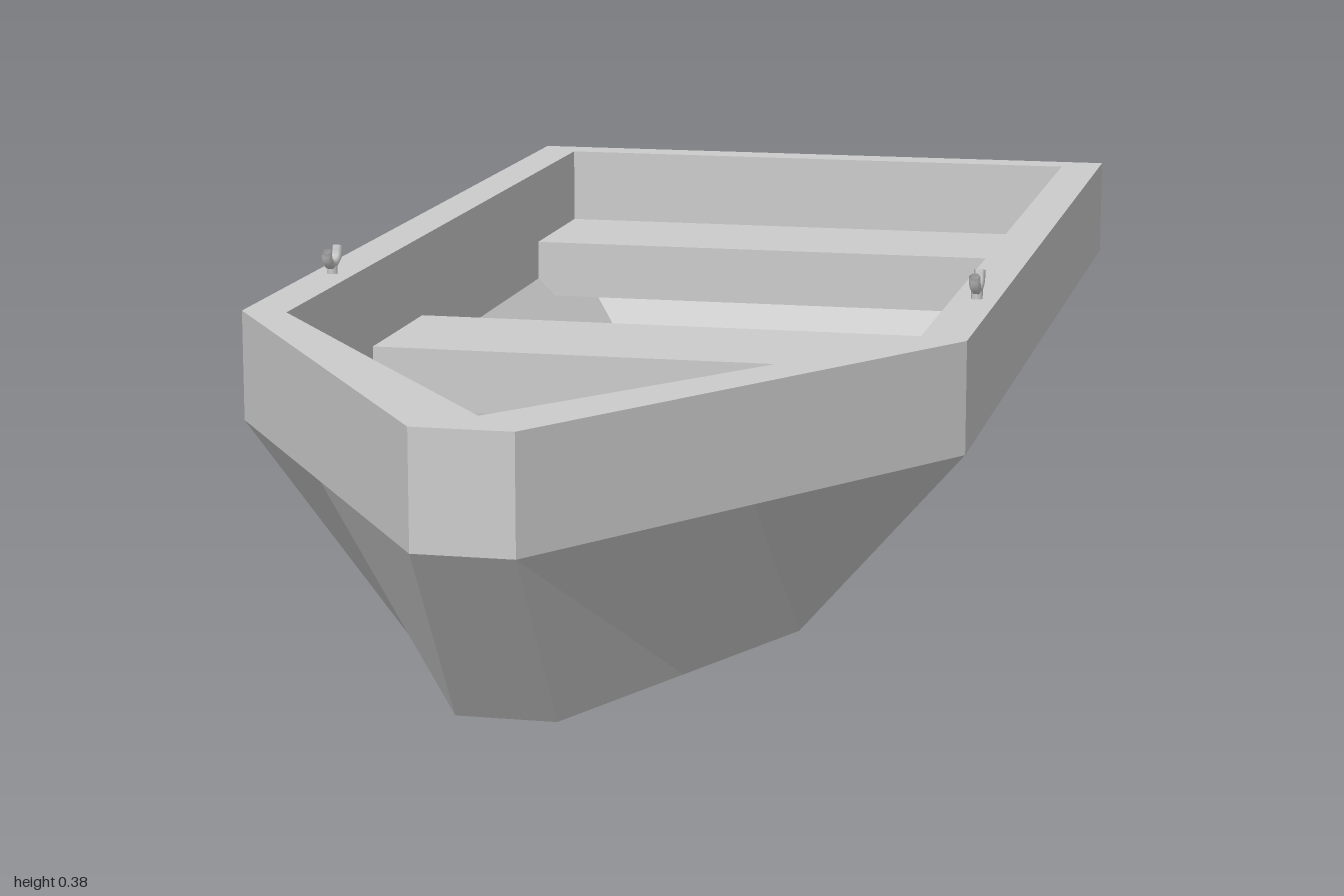
import * as THREE from 'three';

const material = new THREE.MeshStandardMaterial({ color: 0xcccccc, side: THREE.DoubleSide });

// Half outlines [x, z] from stern to bow, at height y; listed from keel around the rim to the floor
const sections = [
  { y: 0, pts: [[0, -0.79], [0, 0.43], [0, 0.635], [0, 0.84]] },
  { y: 0, pts: [[0.24, -0.79], [0.24, 0.43], [0.148, 0.635], [0.056, 0.84]] },
  { y: 0.218, pts: [[0.43, -1], [0.43, 0.43], [0.243, 0.715], [0.056, 1]] },
  { y: 0.35, pts: [[0.43, -1], [0.43, 0.43], [0.243, 0.715], [0.056, 1]] },
  { y: 0.35, pts: [[0.375, -0.95], [0.375, 0.43], [0.188, 0.683], [0, 0.935]] },
  { y: 0.19, pts: [[0.375, -0.95], [0.375, 0.43], [0.188, 0.683], [0, 0.935]] },
  { y: 0.055, pts: [[0.25, -0.81], [0.25, 0.43], [0.155, 0.556], [0, 0.81]] },
  { y: 0.055, pts: [[0, -0.81], [0, 0.43], [0, 0.556], [0, 0.81]] },
];

// Mirror each half outline into a closed ring and skin neighbouring rings
function hullGeometry() {
  const rings = sections.map(({ y, pts }) => [
    ...pts.map(([x, z]) => new THREE.Vector3(x, y, z)),
    ...[...pts].reverse().map(([x, z]) => new THREE.Vector3(-x, y, z)),
  ]);
  const positions = [];
  const addTriangle = (a, b, c) => {
    if (new THREE.Triangle(a, b, c).getArea() < 1e-7) return;
    for (const p of [a, b, c]) positions.push(p.x, p.y, p.z);
  };
  for (let r = 0; r < rings.length - 1; r++) {
    const low = rings[r], high = rings[r + 1], n = low.length;
    for (let i = 0; i < n; i++) {
      const j = (i + 1) % n;
      addTriangle(low[i], high[i], high[j]);
      addTriangle(low[i], high[j], low[j]);
    }
  }
  const geometry = new THREE.BufferGeometry();
  geometry.setAttribute('position', new THREE.Float32BufferAttribute(positions, 3));
  geometry.computeVertexNormals();
  return geometry;
}

function addMesh(parent, name, geometry, x = 0, y = 0, z = 0) {
  const mesh = new THREE.Mesh(geometry, material);
  mesh.name = name;
  mesh.position.set(x, y, z);
  parent.add(mesh);
  return mesh;
}

// Plank across the boat whose lower edges follow the sloping hull
function seatGeometry(depth) {
  const shape = new THREE.Shape([
    [-0.375, 0.245], [-0.375, 0.19], [-0.35, 0.165],
    [0.35, 0.165], [0.375, 0.19], [0.375, 0.245],
  ].map(([x, y]) => new THREE.Vector2(x, y)));
  return new THREE.ExtrudeGeometry(shape, { depth, bevelEnabled: false });
}

export function createModel() {
  const boat = new THREE.Group();
  boat.name = 'rowingBoat';

  addMesh(boat, 'hull', hullGeometry());
  addMesh(boat, 'rearSeat', seatGeometry(0.22), 0, 0, -0.95);
  addMesh(boat, 'middleSeat', seatGeometry(0.22), 0, 0, -0.125);

  // Oarlocks: an open U on a short pin, on each gunwale
  for (const [side, name] of [[1, 'leftOarlock'], [-1, 'rightOarlock']]) {
    const oarlock = new THREE.Group();
    oarlock.name = name;
    oarlock.position.set(side * 0.404, 0.35, 0.165);
    addMesh(oarlock, 'pin', new THREE.CylinderGeometry(0.007, 0.007, 0.016, 8), 0, 0.004, 0);
    const horns = new THREE.CatmullRomCurve3([
      [0, 0.031, -0.023], [0, 0.018, -0.017], [0, 0.012, 0],
      [0, 0.018, 0.017], [0, 0.031, 0.023],
    ].map((p) => new THREE.Vector3(...p)));
    addMesh(oarlock, 'horns', new THREE.TubeGeometry(horns, 12, 0.007, 6));
    boat.add(oarlock);
  }
  return boat;
}
